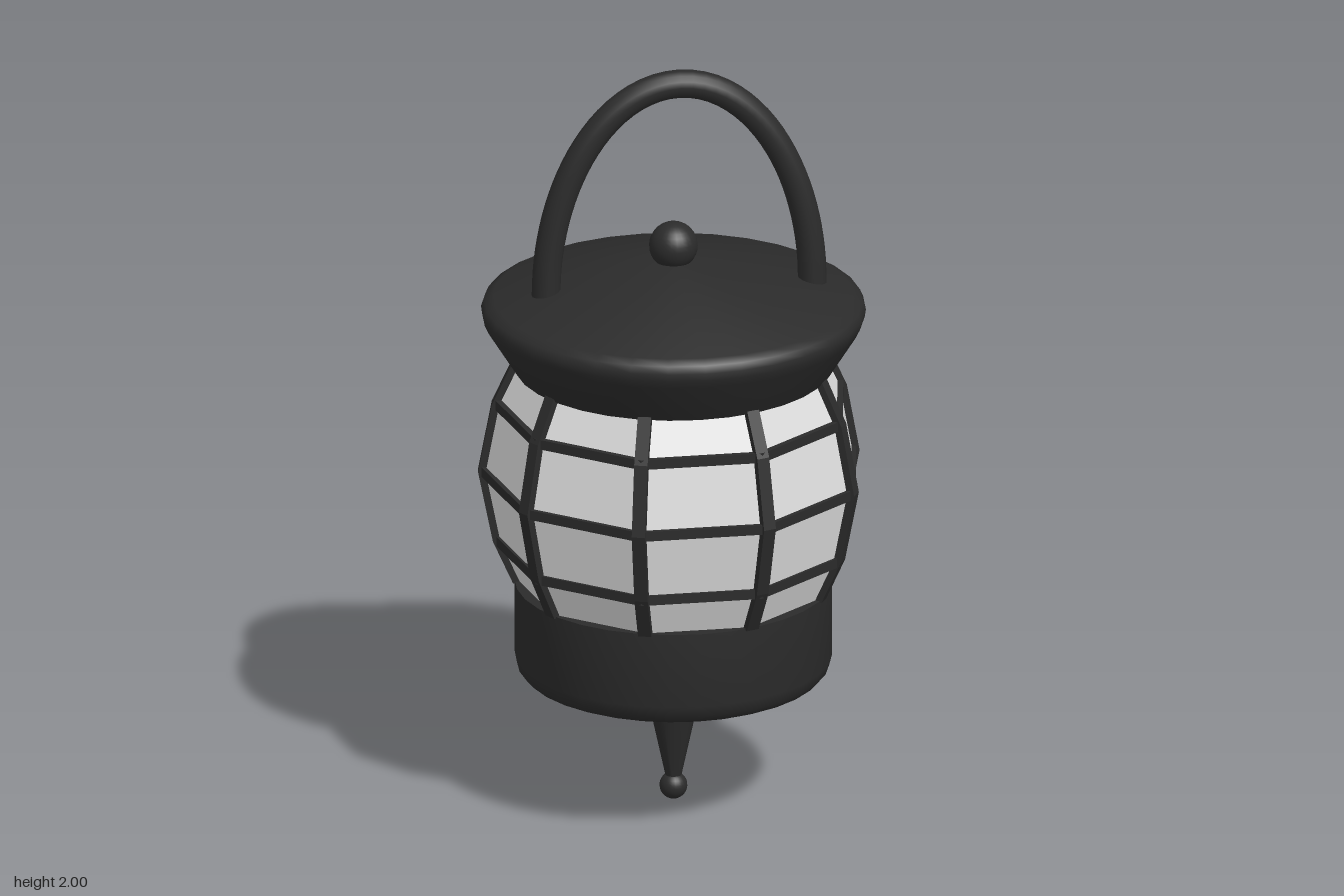
import * as THREE from 'three';
import { toCreasedNormals } from 'three/addons/utils/BufferGeometryUtils.js';

const SIDES = 9; // facets of the glass globe
const GLOBE = [[0.4, 0.595], [0.452, 0.71], [0.49, 0.9], [0.455, 1.085], [0.402, 1.2]];

const toPoints = (list) => list.map(([x, y]) => new THREE.Vector2(x, y));

export function createModel() {
  const model = new THREE.Group();
  model.name = 'lantern';

  const iron = new THREE.MeshStandardMaterial({ color: 0x2b2b2b });
  iron.name = 'blackIron';
  const glass = new THREE.MeshStandardMaterial({ color: 0xdedede });
  glass.name = 'frostedGlass';

  const add = (name, geometry, material = iron, parent = model) => {
    const mesh = new THREE.Mesh(geometry, material);
    mesh.name = name;
    parent.add(mesh);
    return mesh;
  };

  // Round turned part, smooth with sharp rims
  const turned = (name, profile, segments = 32) =>
    add(name, toCreasedNormals(new THREE.LatheGeometry(toPoints(profile), segments), 0.9));

  // Faceted part whose corners line up with the ribs
  const faceted = (profile) => {
    const g = new THREE.LatheGeometry(toPoints(profile), SIDES, Math.PI).toNonIndexed();
    g.computeVertexNormals();
    return g;
  };

  const ball = (name, radius, y) =>
    add(name, new THREE.SphereGeometry(radius, 24, 16)).position.set(0, y, 0);

  // Roof and base cup
  turned('roof', [
    [0, 1.19], [0.41, 1.19], [0.482, 1.305], [0.493, 1.328], [0.496, 1.348],
    [0.488, 1.367], [0.465, 1.38], [0, 1.49],
  ]);
  turned('base', [
    [0, 0.225], [0.36, 0.342], [0.385, 0.353], [0.402, 0.372], [0.409, 0.4],
    [0.409, 0.6], [0, 0.6],
  ]);

  // Finials
  ball('roofBall', 0.063, 1.52);
  turned('bottomSpike', [[0, 0.06], [0.02, 0.06], [0.06, 0.245], [0, 0.245]], 20);
  ball('bottomBall', 0.036, 0.036);

  // Carrying handle: half an ellipse
  const arch = [];
  for (let i = 0; i <= 24; i++) {
    const a = (i / 24) * Math.PI;
    arch.push(new THREE.Vector3(0.015 - 0.348 * Math.cos(a), 1.4 + 0.563 * Math.sin(a), 0));
  }
  add('handle', new THREE.TubeGeometry(new THREE.CatmullRomCurve3(arch), 48, 0.037, 14));
  for (const side of [-1, 1]) {
    const end = add('handleEnd', new THREE.CylinderGeometry(0.037, 0.037, 0.03, 14));
    end.position.set(0.015 + side * 0.348, 1.387, 0);
  }

  // Glass globe of flat panes
  add('globe', faceted(GLOBE), glass);

  // Cage: vertical ribs on the corners
  const cage = new THREE.Group();
  cage.name = 'cage';
  model.add(cage);
  const outer = GLOBE.map(([r, y]) => [r + 0.013, y]);
  const inner = GLOBE.map(([r, y]) => [r - 0.02, y]).reverse();
  const rib = new THREE.ExtrudeGeometry(new THREE.Shape(toPoints([...outer, ...inner])), {
    depth: 0.035, bevelEnabled: false,
  });
  rib.translate(0, 0, -0.0175);
  for (let i = 0; i < SIDES; i++) {
    add('rib', rib, iron, cage).rotation.y = Math.PI / 2 + (i * 2 * Math.PI) / SIDES;
  }

  // Cage: horizontal bars at the globe's bends
  for (const [r, y] of GLOBE.slice(1, 4)) {
    const h = 0.013, o = r + 0.01, n = r - 0.015;
    add('ring', faceted([[n, y - h], [o, y - h], [o, y + h], [n, y + h], [n, y - h]]), iron, cage);
  }

  return model;
}
